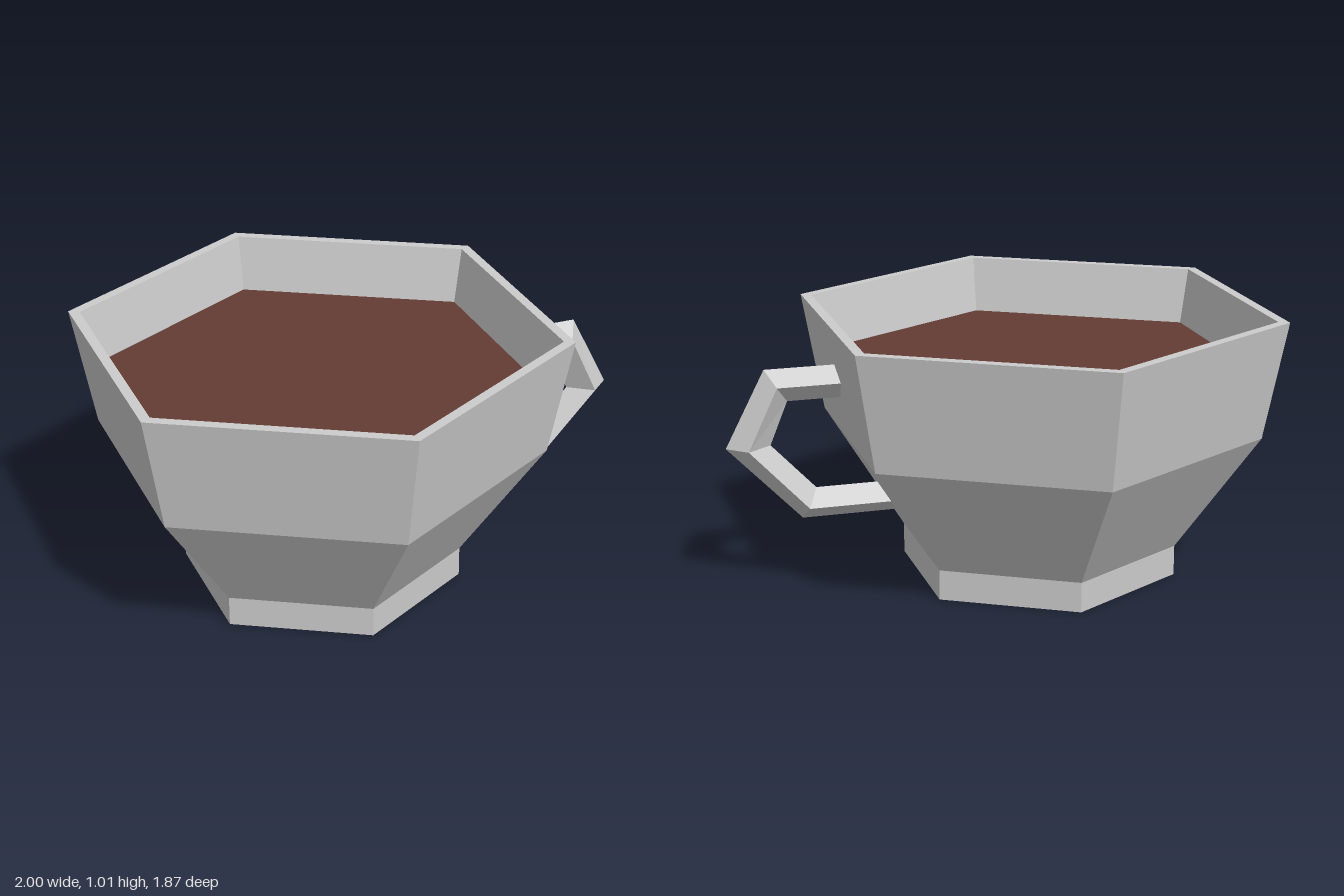
import * as THREE from 'three';

const SIDES = 6;
const CUP_X = -0.193;

const material = (color) => new THREE.MeshStandardMaterial({ color, flatShading: true });

// Sweeps a diamond section along stations of [outer, middle, inner] points in the xy plane
function diamondSweep(stations, halfWidth) {
  const positions = [];
  const index = [];
  for (const [outer, middle, inner] of stations) {
    positions.push(...outer, 0, ...middle, halfWidth, ...inner, 0, ...middle, -halfWidth);
  }
  for (let i = 0; i < stations.length - 1; i++) {
    for (let j = 0; j < 4; j++) {
      const a = i * 4 + j;
      const b = i * 4 + ((j + 1) % 4);
      index.push(a, b, b + 4, a, b + 4, a + 4);
    }
  }
  const last = (stations.length - 1) * 4;
  index.push(0, 2, 1, 0, 3, 2, last, last + 1, last + 2, last, last + 2, last + 3);
  const indexed = new THREE.BufferGeometry();
  indexed.setAttribute('position', new THREE.Float32BufferAttribute(positions, 3));
  indexed.setIndex(index);
  const geometry = indexed.toNonIndexed();
  geometry.computeVertexNormals();
  return geometry;
}

export function createModel() {
  const model = new THREE.Group();
  model.name = 'cup';
  const grey = material(0xcccccc);

  // Hexagonal bowl: foot, flared body, upright wall, rim and inside
  const profile = [
    [0, 0], [0.533, 0], [0.533, 0.115], [0.847, 0.565], [0.933, 1.012],
    [0.89, 1.012], [0.847, 0.8], [0.8, 0.565], [0.49, 0.13], [0, 0.13],
  ].map(([r, y]) => new THREE.Vector2(r, y));
  const bowl = new THREE.Mesh(new THREE.LatheGeometry(profile, SIDES), grey);
  bowl.name = 'bowl';
  bowl.position.x = CUP_X;
  model.add(bowl);

  // Drink surface
  const drink = new THREE.Mesh(new THREE.CircleGeometry(0.847, SIDES, Math.PI / 2), material(0x643c33));
  drink.name = 'drink';
  drink.rotation.x = -Math.PI / 2;
  drink.position.set(CUP_X, 0.8, 0);
  model.add(drink);

  // Angular handle, from the upper wall round to the lower wall
  const handle = new THREE.Mesh(diamondSweep([
    [[0.565, 0.855], [0.56, 0.8], [0.55, 0.73]],
    [[0.85, 0.855], [0.815, 0.8], [0.767, 0.73]],
    [[0.998, 0.567], [0.925, 0.567], [0.833, 0.567]],
    [[0.72, 0.275], [0.705, 0.33], [0.667, 0.39]],
    [[0.34, 0.275], [0.37, 0.33], [0.4, 0.39]],
  ], 0.066), grey);
  handle.name = 'handle';
  model.add(handle);

  return model;
}
